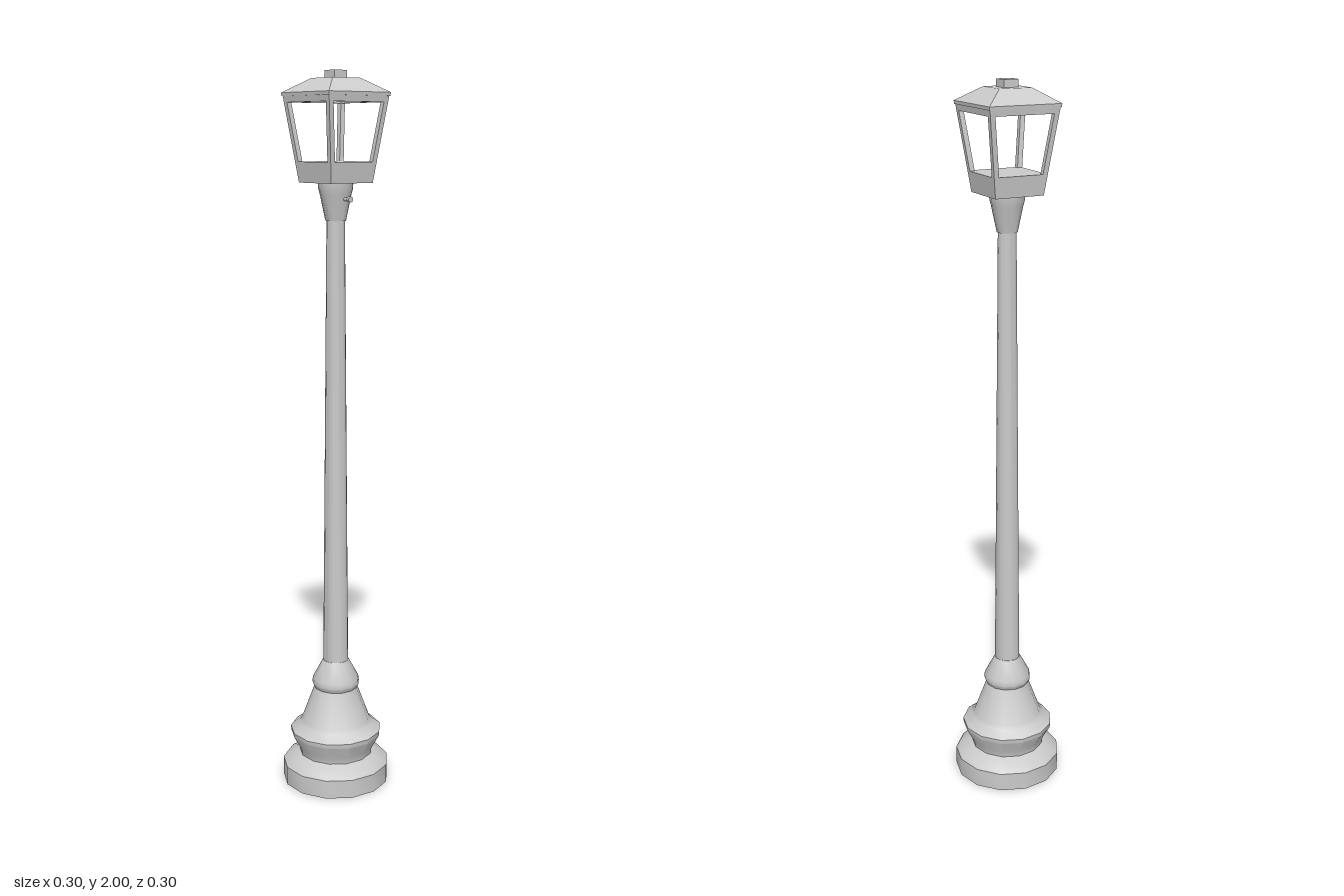
import * as THREE from 'three';
import { toCreasedNormals, mergeGeometries } from 'three/addons/utils/BufferGeometryUtils.js';

const SIDES = 13;
const grey = new THREE.MeshStandardMaterial({ color: 0xcccccc });
const greyDouble = new THREE.MeshStandardMaterial({ color: 0xcccccc, side: THREE.DoubleSide });

// Outer half width of the flaring lantern at height y
const halfWidth = (y) => 0.07 + (y - 1.71) * 0.133;

function turned(name, profile) {
  const points = profile.map(([r, y]) => new THREE.Vector2(r, y));
  const geo = new THREE.LatheGeometry(points, SIDES, Math.PI / 2);
  const mesh = new THREE.Mesh(toCreasedNormals(geo, 0.6), greyDouble);
  mesh.name = name;
  return mesh;
}

// Box whose x and z extents may differ at the bottom and top: bounds(y) -> [x0, x1, z0, z1]
function taperedBox(y0, y1, bounds) {
  const geo = new THREE.BoxGeometry(1, 1, 1).toNonIndexed();
  const p = geo.attributes.position;
  for (let i = 0; i < p.count; i++) {
    const y = p.getY(i) < 0 ? y0 : y1;
    const [xa, xb, za, zb] = bounds(y);
    p.setXYZ(i, p.getX(i) < 0 ? xa : xb, y, p.getZ(i) < 0 ? za : zb);
  }
  geo.computeVertexNormals();
  return geo;
}

function frustum(y0, h0, y1, h1) {
  return taperedBox(y0, y1, (y) => {
    const h = y === y0 ? h0 : h1;
    return [-h, h, -h, h];
  });
}

export function createModel() {
  const model = new THREE.Group();
  model.name = 'streetLamp';
  const add = (name, geo) => {
    const mesh = new THREE.Mesh(geo, grey);
    mesh.name = name;
    model.add(mesh);
  };

  // Turned pedestal, open underneath
  model.add(turned('pedestal', [
    [0.153, 0], [0.153, 0.053], [0.148, 0.06], [0.118, 0.075], [0.105, 0.082],
    [0.108, 0.1], [0.13, 0.14], [0.131, 0.153], [0.105, 0.172], [0.098, 0.182],
    [0.062, 0.28], [0.068, 0.292], [0.066, 0.308], [0.037, 0.362], [0.03, 0.362],
  ]));

  // Slim tapering shaft and the collar carrying the lantern
  model.add(turned('shaft', [[0.036, 0.355], [0.025, 1.62]]));
  model.add(turned('collar', [
    [0.022, 1.61], [0.028, 1.61], [0.043, 1.68], [0.047, 1.695], [0.048, 1.712],
  ]));

  // Little set screw on the front of the collar
  const stem = new THREE.CylinderGeometry(0.005, 0.005, 0.03, 8);
  stem.translate(0, 0.045, 0);
  const head = new THREE.CylinderGeometry(0.008, 0.008, 0.008, 8);
  head.translate(0, 0.06, 0);
  const screw = mergeGeometries([stem, head]);
  screw.rotateX(Math.PI / 2).translate(0, 1.668, 0);
  add('setScrew', screw);

  // Lantern tray
  add('lanternTray', frustum(1.71, halfWidth(1.71), 1.765, halfWidth(1.765)));

  // Four leaning corner posts
  for (const sx of [-1, 1]) {
    for (const sz of [-1, 1]) {
      const span = (s, y) => {
        const a = s * halfWidth(y), b = s * (halfWidth(y) - 0.014);
        return [Math.min(a, b), Math.max(a, b)];
      };
      add('cornerPost', taperedBox(1.765, 1.936, (y) => [...span(sx, y), ...span(sz, y)]));
    }
  }

  // Top rails between the posts
  for (let i = 0; i < 4; i++) {
    const rail = taperedBox(1.918, 1.936, (y) => {
      const h = halfWidth(y);
      return [-h + 0.014, h - 0.014, h - 0.014, h];
    });
    rail.rotateY(i * Math.PI / 2);
    add('topRail', rail);
  }

  // Hipped roof with a thin eave and a square cap
  add('eave', frustum(1.934, 0.102, 1.943, 0.103));
  add('roof', frustum(1.943, 0.103, 1.98, 0.046));
  add('roofCap', frustum(1.98, 0.021, 2.0, 0.021));

  return model;
}
